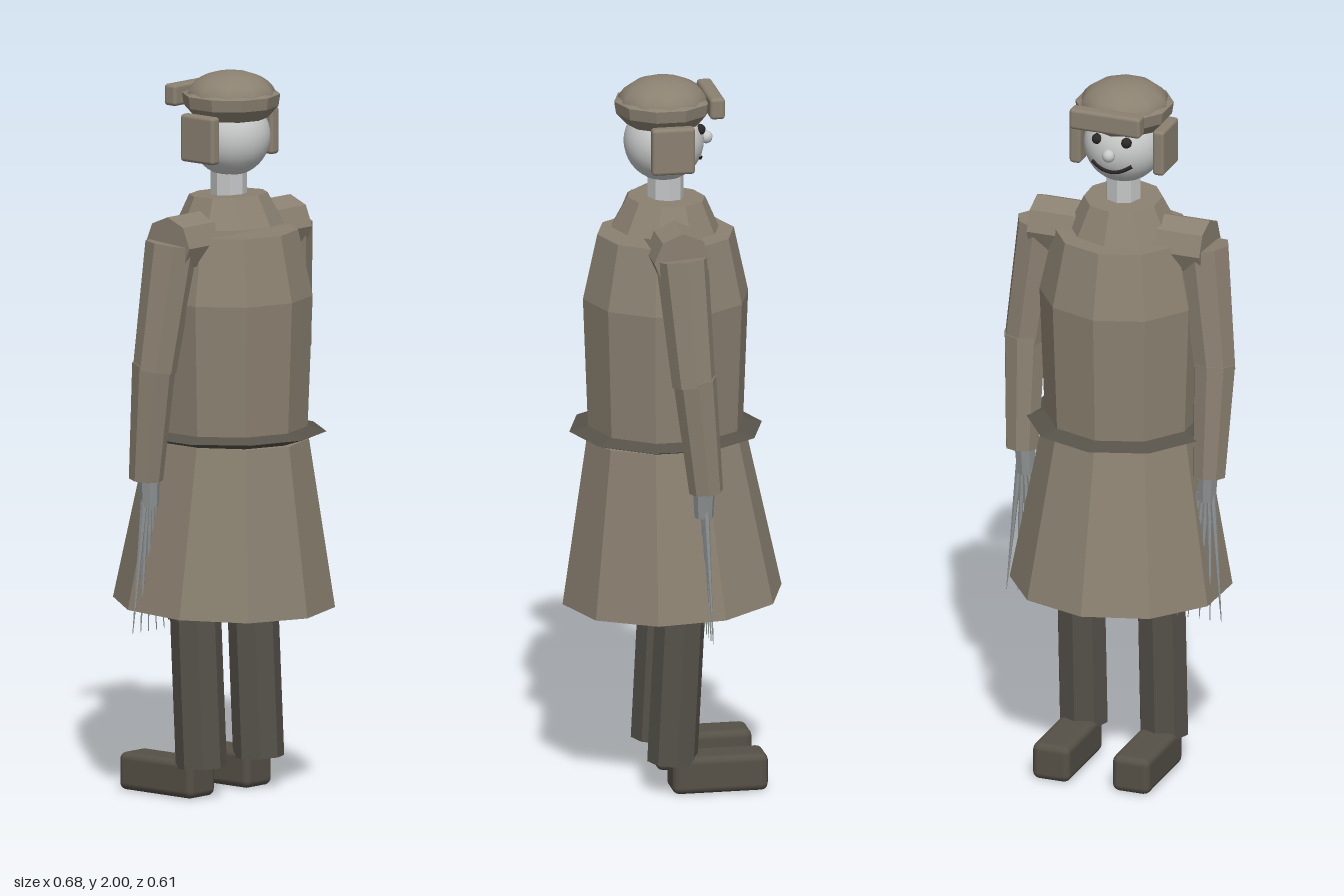
import * as THREE from 'three';
import { RoundedBoxGeometry } from 'three/addons/geometries/RoundedBoxGeometry.js';

const paint = (name, color, flatShading = false) => {
  const m = new THREE.MeshStandardMaterial({ color, flatShading });
  m.name = name;
  return m;
};

export function createModel() {
  const model = new THREE.Group();
  model.name = 'coatedFigure';

  const coat = paint('coatBrown', 0x8b8171, true);
  const cloth = paint('capBrown', 0x8b8171);
  const trousers = paint('trouserGrey', 0x56524b, true);
  const leather = paint('beltDark', 0x57534a, true);
  leather.side = THREE.DoubleSide;
  const bootLeather = paint('bootDark', 0x565147);
  const skin = paint('paleSkin', 0xc8c9c9);
  const skinFlat = paint('paleSkinFaceted', 0xc4c6c7, true);
  const fingerGrey = paint('fingerGrey', 0x8d9292, true);
  const dark = paint('faceDark', 0x2b2826);

  const add = (name, geometry, material, x = 0, y = 0, z = 0) => {
    const mesh = new THREE.Mesh(geometry, material);
    mesh.name = name;
    mesh.position.set(x, y, z);
    model.add(mesh);
    return mesh;
  };
  const up = new THREE.Vector3(0, 1, 0);
  // Tapered faceted tube between two points, from bottom to top
  const limb = (name, bottom, top, rBottom, rTop, sides, material) => {
    const a = new THREE.Vector3(...bottom), b = new THREE.Vector3(...top);
    const dir = b.clone().sub(a);
    const mesh = add(name, new THREE.CylinderGeometry(rTop, rBottom, dir.length(), sides), material);
    mesh.position.copy(a).add(b).multiplyScalar(0.5);
    mesh.quaternion.setFromUnitVectors(up, dir.normalize());
    return mesh;
  };
  const lathe = (name, points, sides, material, z) =>
    add(name, new THREE.LatheGeometry(points.map(p => new THREE.Vector2(...p)), sides), material, 0, 0, z);
  const roundBox = (name, size, r, material, pos) =>
    add(name, new RoundedBoxGeometry(...size, 2, r), material, ...pos);

  // Coat
  limb('coatSkirt', [0, 0.525, 0.002], [0, 0.99, 0.02], 0.305, 0.22, 10, coat);
  lathe('coatBody', [[0, 0.99], [0.215, 0.99], [0.23, 1.38], [0.19, 1.562], [0, 1.562]], 10, coat, 0.02);
  limb('collar', [0, 1.575, 0.022], [0, 1.66, 0.018], 0.15, 0.108, 10, coat);
  lathe('belt', [[0.2, 0.982], [0.268, 1.004], [0.2, 1.022]], 10, leather, 0.02);
  limb('shoulderYoke', [-0.253, 1.545, 0.02], [0.253, 1.545, 0.02], 0.08, 0.08, 8, coat);

  // Head and neck
  limb('neck', [0, 1.6, 0.02], [0, 1.74, 0.02], 0.05, 0.05, 8, skinFlat);
  add('head', new THREE.SphereGeometry(0.11, 32, 20), skin, 0, 1.82, 0.025);

  // Cap: dome, band, under-rim, ear flaps and peak facing -z
  const dome = add('capDome',
    new THREE.SphereGeometry(0.126, 10, 8, 0, Math.PI * 2, 0, Math.PI / 2), cloth, 0, 1.925, 0.028);
  dome.scale.y = 0.6;
  lathe('capBand', [[0, 1.872], [0.1, 1.872], [0.13, 1.905], [0.135, 1.938], [0.118, 1.944]], 10, coat, 0.028);
  roundBox('capPeak', [0.208, 0.06, 0.042], 0.01, cloth, [0, 1.93, -0.106]);

  // Face
  add('nose', new THREE.SphereGeometry(0.018, 12, 8), skin, 0, 1.823, -0.093);
  const mouthCurve = new THREE.CatmullRomCurve3([-1, -0.5, 0, 0.5, 1].map(t => {
    const x = 0.058 * t, y = -0.052 + 0.022 * t * t;
    return new THREE.Vector3(x, 1.82 + y, 0.025 - Math.sqrt(0.0122 - x * x - y * y));
  }));
  add('mouth', new THREE.TubeGeometry(mouthCurve, 16, 0.006, 6), dark);

  for (const s of [-1, 1]) {
    const side = s > 0 ? 'left' : 'right';
    roundBox(side + 'EarFlap', [0.034, 0.132, 0.12], 0.01, cloth, [s * 0.122, 1.825, 0.023]);
    add(side + 'Eye', new THREE.SphereGeometry(0.015, 12, 8), dark, s * 0.043, 1.858, -0.068);

    // Arm
    limb(side + 'UpperArm', [s * 0.278, 1.2, -0.005], [s * 0.235, 1.55, 0.02], 0.06, 0.073, 8, coat);
    limb(side + 'Forearm', [s * 0.274, 0.895, -0.04], [s * 0.278, 1.22, -0.007], 0.047, 0.06, 8, coat);

    // Hand with long tapering fingers
    limb(side + 'Wrist', [s * 0.265, 0.82, -0.035], [s * 0.268, 0.92, -0.035], 0.026, 0.032, 8, fingerGrey);
    [0.315, 0.282, 0.25, 0.217, 0.185].forEach((x, i) => {
      const start = s * (0.283 - i * 0.009);
      limb(side + 'Finger' + (i + 1), [s * x, 0.47, -0.052], [start, 0.84, -0.038], 0.001, 0.01, 6, fingerGrey);
    });

    // Leg and boot, toes towards -z
    limb(side + 'Thigh', [s * 0.118, 0.495, 0.002], [s * 0.118, 0.65, -0.006], 0.075, 0.075, 8, trousers);
    limb(side + 'Trouser', [s * 0.118, 0.085, 0.024], [s * 0.118, 0.56, 0.0], 0.07, 0.07, 8, trousers);
    roundBox(side + 'Boot', [0.11, 0.105, 0.266], 0.02, bootLeather, [s * 0.117, 0.0525, -0.102]);
  }
  return model;
}
